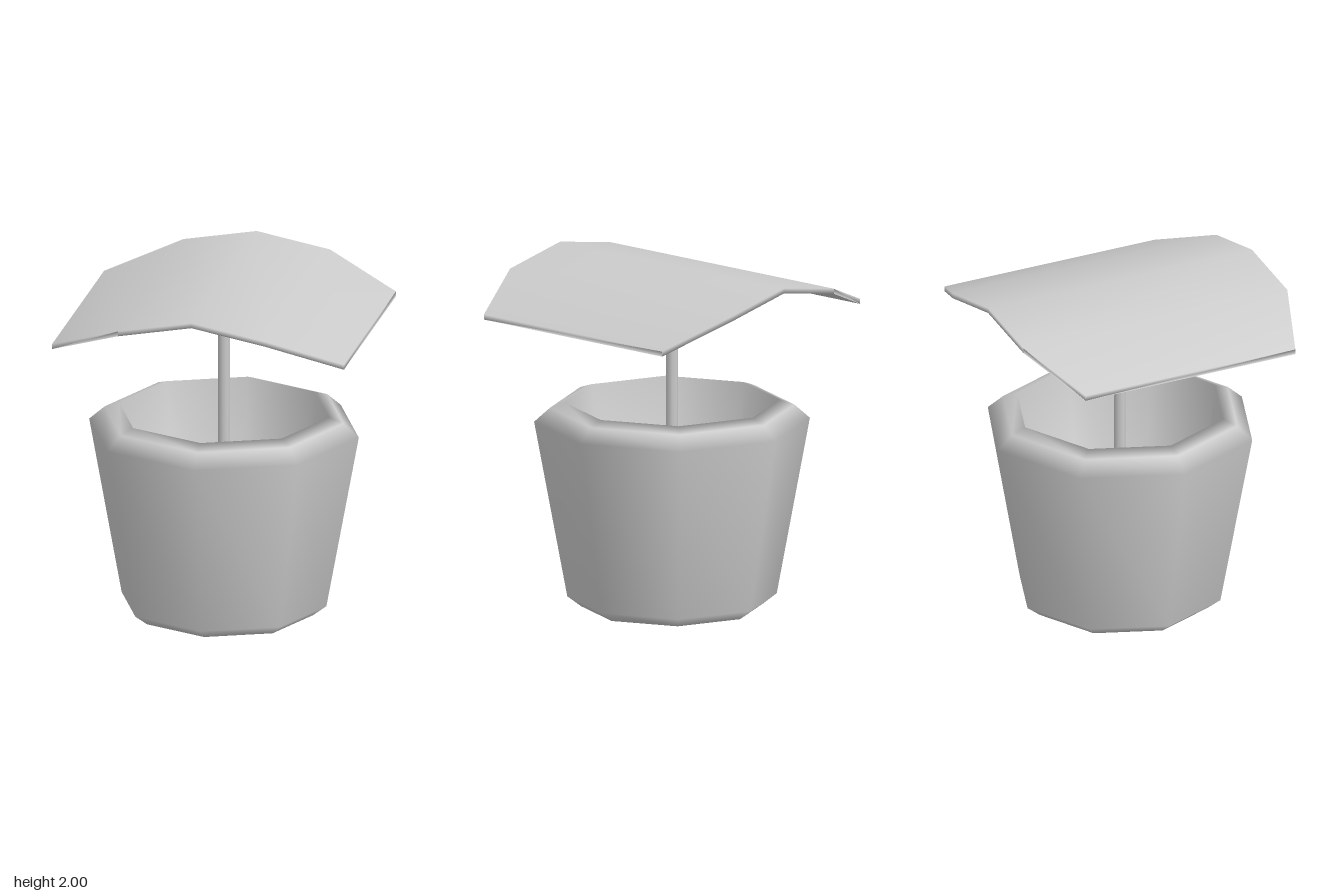
import * as THREE from 'three';
import { mergeVertices } from 'three/addons/utils/BufferGeometryUtils.js';

const material = new THREE.MeshStandardMaterial({ color: 0xcccccc });

function addMesh(group, name, geometry) {
  const mesh = new THREE.Mesh(geometry, material);
  mesh.name = name;
  group.add(mesh);
  return mesh;
}

// Curved plate: arched section extruded along z, with its side corners cut in
function roofGeometry() {
  const arch = [[-0.855, 1.755], [-0.43, 1.92], [0, 2], [0.43, 1.92], [0.855, 1.755]];
  const thickness = 0.03;
  const outline = [
    ...arch.map(([x, y]) => new THREE.Vector2(x, y - thickness)),
    ...arch.slice().reverse().map(([x, y]) => new THREE.Vector2(x, y)),
  ];
  const halfDepth = 0.855;
  const geometry = new THREE.ExtrudeGeometry(new THREE.Shape(outline), {
    depth: 2 * halfDepth, steps: 1, bevelEnabled: false,
  });
  geometry.translate(0, 0, -halfDepth);
  const pos = geometry.attributes.position;
  for (let i = 0; i < pos.count; i++) {
    if (Math.abs(pos.getX(i)) > 0.8) pos.setZ(i, Math.sign(pos.getZ(i)) * 0.68);
  }
  // Weld the corners so the whole plate shades smoothly
  geometry.deleteAttribute('normal');
  geometry.deleteAttribute('uv');
  const welded = mergeVertices(geometry, 1e-4);
  welded.computeVertexNormals();
  return welded;
}

export function createModel() {
  const group = new THREE.Group();
  group.name = 'coveredBucket';

  // Eight-sided hollow bucket: base, outer wall, rounded rim, inner wall, floor
  const profile = [
    [0, 0], [0.52, 0], [0.6, 0.06], [0.79, 1.09], [0.7, 1.17],
    [0.615, 1.2], [0.47, 0.12], [0, 0.12],
  ].map(([r, y]) => new THREE.Vector2(r, y));
  addMesh(group, 'bucket', new THREE.LatheGeometry(profile, 8));

  // Central post from the bucket floor to the roof ridge
  const bottom = 0.08, top = 1.98;
  const post = addMesh(group, 'post', new THREE.CylinderGeometry(0.035, 0.035, top - bottom, 8));
  post.position.y = (top + bottom) / 2;

  addMesh(group, 'roof', roofGeometry());
  return group;
}
